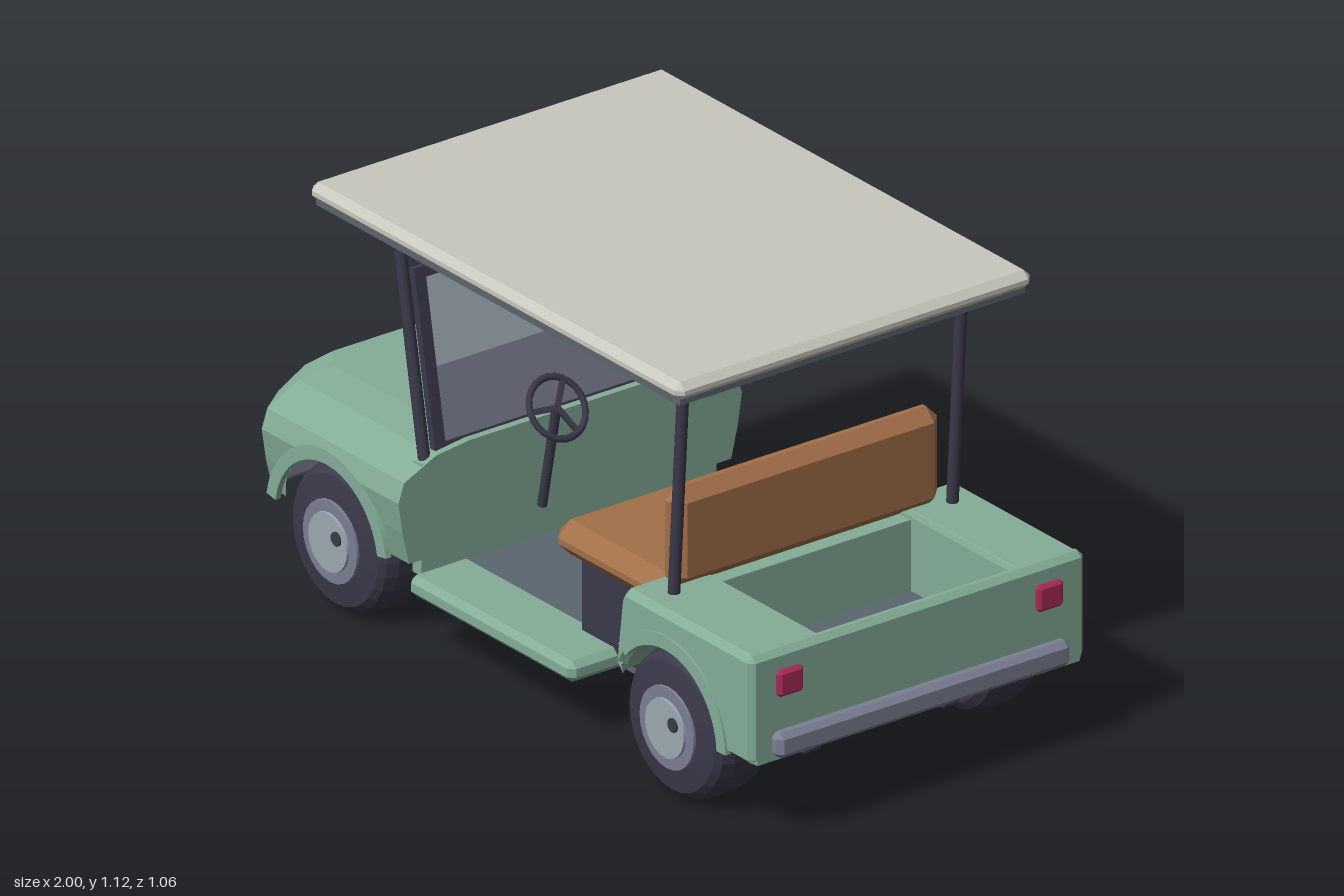
import * as THREE from 'three';
import { ConvexGeometry } from 'three/addons/geometries/ConvexGeometry.js';

const mat = (name, color, side = THREE.FrontSide) => {
  const m = new THREE.MeshStandardMaterial({ color, side });
  m.name = name;
  return m;
};

export function createModel() {
  const green = mat('bodyGreen', 0x84ad97, THREE.DoubleSide);
  const cream = mat('roofCream', 0xc9c8be);
  const dark = mat('darkTrim', 0x3b394a);
  const steel = mat('bumperGrey', 0x7b7f92);
  const hubGrey = mat('hubSilver', 0x9ca9b0);
  const red = mat('lampRed', 0xa82a54);
  const tan = mat('seatTan', 0xa27049);
  const amber = mat('lampAmber', 0x9a7350);
  const glass = mat('glass', 0xa2b0ba);
  const slate = mat('floorSlate', 0x5b666f);

  const cart = new THREE.Group();
  cart.name = 'golfCart';

  const add = (name, geo, material, parent = cart) => {
    const m = new THREE.Mesh(geo, material);
    m.name = name;
    parent.add(m);
    return m;
  };

  // Box given by its limits, every edge chamfered by b
  const block = (name, material, [x0, x1], [y0, y1], [z0, z1], b = 0, parent = cart) => {
    const h = [(x1 - x0) / 2, (y1 - y0) / 2, (z1 - z0) / 2];
    let geo;
    if (b > 0) {
      const pts = [];
      for (const sx of [-1, 1]) for (const sy of [-1, 1]) for (const sz of [-1, 1])
        for (let full = 0; full < 3; full++) {
          const p = h.map((v, i) => (i === full ? v : v - b));
          pts.push(new THREE.Vector3(sx * p[0], sy * p[1], sz * p[2]));
        }
      geo = new ConvexGeometry(pts);
    } else geo = new THREE.BoxGeometry(h[0] * 2, h[1] * 2, h[2] * 2);
    const m = add(name, geo, material, parent);
    m.position.set((x0 + x1) / 2, (y0 + y1) / 2, (z0 + z1) / 2);
    return m;
  };

  const bar = (name, a, b, r) => {
    const A = new THREE.Vector3(...a), B = new THREE.Vector3(...b), d = B.clone().sub(A);
    const m = add(name, new THREE.CylinderGeometry(r, r, d.length(), 10), dark);
    m.position.copy(A).add(B).multiplyScalar(0.5);
    m.quaternion.setFromUnitVectors(new THREE.Vector3(0, 1, 0), d.normalize());
  };

  // Roof with slate lining
  block('roof', cream, [-0.71, 0.73], [1.078, 1.126], [-0.53, 0.53], 0.018);
  block('roofLining', slate, [-0.695, 0.715], [1.066, 1.082], [-0.515, 0.515]);

  // Front cowl: cross-sections along x, lower edge cut by the wheel arch
  const FX = -0.66, RX = 0.645, WY = 0.2, AR = 0.2;
  const section = [[0.48, 0.235], [0.5, 0.32], [0.512, 0.4], [0.495, 0.45], [0.4, 0.495], [0.3, 0.507]];
  const widthAt = (y) => {
    for (let i = 1; i < section.length; i++) {
      const [z0, y0] = section[i - 1], [z1, y1] = section[i];
      if (y <= y1) return z0 + ((z1 - z0) * (y - y0)) / (y1 - y0);
    }
    return 0.3;
  };
  const stations = [[-0.97, 0.235, 0.84], [-0.91, 0.235, 1]];
  const a0 = Math.asin(0.035 / AR);
  for (let i = 0; i <= 14; i++) {
    const a = Math.PI - a0 - ((Math.PI - 2 * a0) * i) / 14;
    stations.push([FX + AR * Math.cos(a), WY + AR * Math.sin(a), 1]);
  }
  stations.push([-0.38, 0.235, 1]);
  const pos = [], idx = [], n = section.length * 2;
  stations.forEach(([x, low, scale]) => {
    const half = section.map(([, y]) => Math.max(y, low)).map((y) => [widthAt(y) * scale, y]);
    half.forEach(([z, y]) => pos.push(x, y, z));
    half.reverse().forEach(([z, y]) => pos.push(x, y, -z));
  });
  for (let s = 0; s < stations.length - 1; s++)
    for (let j = 0; j < n - 1; j++) {
      const a = s * n + j, b = a + n;
      idx.push(a, b, a + 1, b, b + 1, a + 1);
    }
  const last = (stations.length - 1) * n;
  for (let j = 1; j < n - 1; j++) {
    idx.push(0, j, j + 1);
    idx.push(last, last + j + 1, last + j);
  }
  let cowl = new THREE.BufferGeometry();
  cowl.setAttribute('position', new THREE.Float32BufferAttribute(pos, 3));
  cowl.setIndex(idx);
  cowl = cowl.toNonIndexed();
  cowl.computeVertexNormals();
  add('frontCowl', cowl, green);
  block('cowlUnderside', green, [-0.95, -0.39], [0.24, 0.48], [-0.32, 0.32]);
  block('dashPanel', green, [-0.42, -0.385], [0.19, 0.48], [-0.44, 0.44]);

  // Rear body: two arched sides around an open cargo bed
  const side = new THREE.Shape();
  side.moveTo(0.46, 0.276);
  [[0.46, 0.47], [0.48, 0.493], [0.95, 0.493], [0.97, 0.47], [0.97, 0.21], [0.845, 0.21]]
    .forEach((p) => side.lineTo(...p));
  side.absarc(RX, WY, AR, 0.05, 2.752, false);
  const sideGeo = new THREE.ExtrudeGeometry(side, {
    depth: 0.17, bevelThickness: 0.02, bevelSize: 0.015, bevelOffset: -0.015, bevelSegments: 1, curveSegments: 16,
  });
  for (const z of [0.31, -0.48]) add('rearSide', sideGeo, green).position.z = z;
  for (const s of [-1, 1])
    block('bedWall', green, [0.5, 0.95], [0.27, 0.492], s > 0 ? [0.285, 0.34] : [-0.34, -0.285]);
  block('tailPanel', green, [0.93, 0.97], [0.21, 0.493], [-0.5, 0.5], 0.015);
  block('bedFrontWall', green, [0.465, 0.57], [0.2, 0.485], [-0.33, 0.33]);
  block('bedUnderside', green, [0.5, 0.95], [0.26, 0.29], [-0.33, 0.33]);
  block('bedFloor', slate, [0.56, 0.935], [0.29, 0.3], [-0.29, 0.29]);

  // Raised wheel arch lips
  const lip = (cx, z, from, to) => {
    const s = new THREE.Shape();
    s.absarc(0, 0, 0.235, from, to, false);
    s.absarc(0, 0, AR, to, from, true);
    const g = new THREE.ExtrudeGeometry(s, { depth: 0.016, bevelEnabled: false, curveSegments: 14 });
    for (const zz of [z, -z - 0.016]) add('archLip', g, green).position.set(cx, WY, zz);
  };
  lip(FX, 0.496, 0.17, Math.PI - 0.17);
  lip(RX, 0.49, 0.05, 2.45);

  // Wheels
  const tyre = new THREE.LatheGeometry([
    [0.1, -0.085], [0.16, -0.085], [0.18, -0.07], [0.19, -0.03], [0.19, 0.03],
    [0.18, 0.06], [0.165, 0.075], [0.1, 0.085],
  ].map((p) => new THREE.Vector2(...p)), 28).toNonIndexed();
  tyre.computeVertexNormals();
  for (const x of [FX, RX]) for (const s of [-1, 1]) {
    const wheel = new THREE.Group();
    wheel.name = 'wheel';
    wheel.position.set(x, 0.195, s * 0.41);
    cart.add(wheel);
    const disc = (name, m, r, z, depth, px = 0, py = 0) => {
      const d = add(name, new THREE.CylinderGeometry(r, r * 1.05, depth, 24), m, wheel);
      d.rotation.x = s * Math.PI / 2;
      d.position.set(px, py, s * z);
    };
    add('tyre', tyre, dark, wheel).rotation.x = s * Math.PI / 2;
    disc('innerDisc', dark, 0.105, -0.05, 0.06);
    disc('rim', steel, 0.105, 0.06, 0.062);
    disc('hubcap', hubGrey, 0.075, 0.08, 0.036);
    disc('valve', dark, 0.018, 0.095, 0.014, 0.035, 0.022);
  }

  // Chassis, floor and running boards
  block('floor', slate, [-0.5, 0.48], [0.15, 0.195], [-0.32, 0.32]);
  for (const s of [-1, 1]) {
    block('chassisRail', dark, [-0.83, 0.83], [0.113, 0.183], [s * 0.207 - 0.03, s * 0.207 + 0.03], 0.008);
    block('runningBoard', green, [-0.375, 0.26], [0.158, 0.213], [s * 0.4 - 0.09, s * 0.4 + 0.09], 0.016);
  }

  // Bench seat
  block('seatBase', dark, [0.12, 0.48], [0.19, 0.42], [-0.35, 0.35]);
  block('seatCushion', tan, [0.055, 0.51], [0.403, 0.495], [-0.4, 0.4], 0.038);
  block('seatBack', tan, [0.475, 0.553], [0.48, 0.74], [-0.4, 0.4], 0.032);

  // Roof posts
  for (const z of [-0.415, 0.415]) {
    bar('frontPost', [-0.405, 0.475, z], [-0.515, 1.075, z], 0.015);
    bar('rearPost', [0.56, 0.46, z], [0.6, 1.075, z], 0.015);
  }

  // Windscreen, leaning with the front posts
  const screen = new THREE.Group();
  screen.name = 'windscreen';
  screen.position.set(-0.405, 0.48, 0);
  screen.rotation.z = 0.183;
  cart.add(screen);
  const t = [-0.01, 0.01];
  block('screenTop', dark, t, [0.44, 0.468], [-0.388, 0.388], 0, screen);
  block('screenBottom', dark, t, [0, 0.03], [-0.388, 0.388], 0, screen);
  for (const z of [-0.372, 0.372]) block('screenSide', dark, t, [0.03, 0.44], [z - 0.016, z + 0.016], 0, screen);
  block('upperPane', glass, [-0.004, 0.004], [0.215, 0.44], [-0.356, 0.356], 0, screen);
  block('lowerPane', steel, [-0.004, 0.004], [0.03, 0.215], [-0.356, 0.356], 0, screen);

  // Steering column and wheel
  const SZ = 0.18;
  bar('steeringColumn', [-0.255, 0.35, SZ], [-0.2, 0.62, SZ], 0.012);
  const steer = new THREE.Group();
  steer.name = 'steeringWheel';
  steer.position.set(-0.196, 0.626, SZ);
  steer.quaternion.setFromUnitVectors(new THREE.Vector3(0, 0, 1), new THREE.Vector3(0.81, 0.586, 0).normalize());
  cart.add(steer);
  add('steeringRim', new THREE.TorusGeometry(0.077, 0.009, 6, 24), dark, steer);
  for (let i = 0; i < 3; i++) {
    const a = Math.PI / 2 + (i * Math.PI * 2) / 3;
    const spoke = add('steeringSpoke', new THREE.BoxGeometry(0.076, 0.014, 0.008), dark, steer);
    spoke.rotation.z = a;
    spoke.position.set(Math.cos(a) * 0.038, Math.sin(a) * 0.038, 0);
  }

  // Bumpers and lamps
  block('frontBumper', steel, [-1, -0.94], [0.22, 0.286], [-0.43, 0.43], 0.014);
  block('rearBumper', steel, [0.955, 1], [0.22, 0.286], [-0.437, 0.437], 0.014);
  for (const z of [-0.305, 0.305]) {
    block('headlampFrame', dark, [-0.982, -0.96], [0.36, 0.435], [z - 0.075, z + 0.075], 0.006);
    block('headlamp', amber, [-0.987, -0.98], [0.372, 0.423], [z - 0.06, z + 0.06]);
  }
  for (const z of [-0.387, 0.387])
    block('tailLamp', red, [0.96, 0.985], [0.375, 0.443], [z - 0.038, z + 0.038], 0.008);

  return cart;
}
